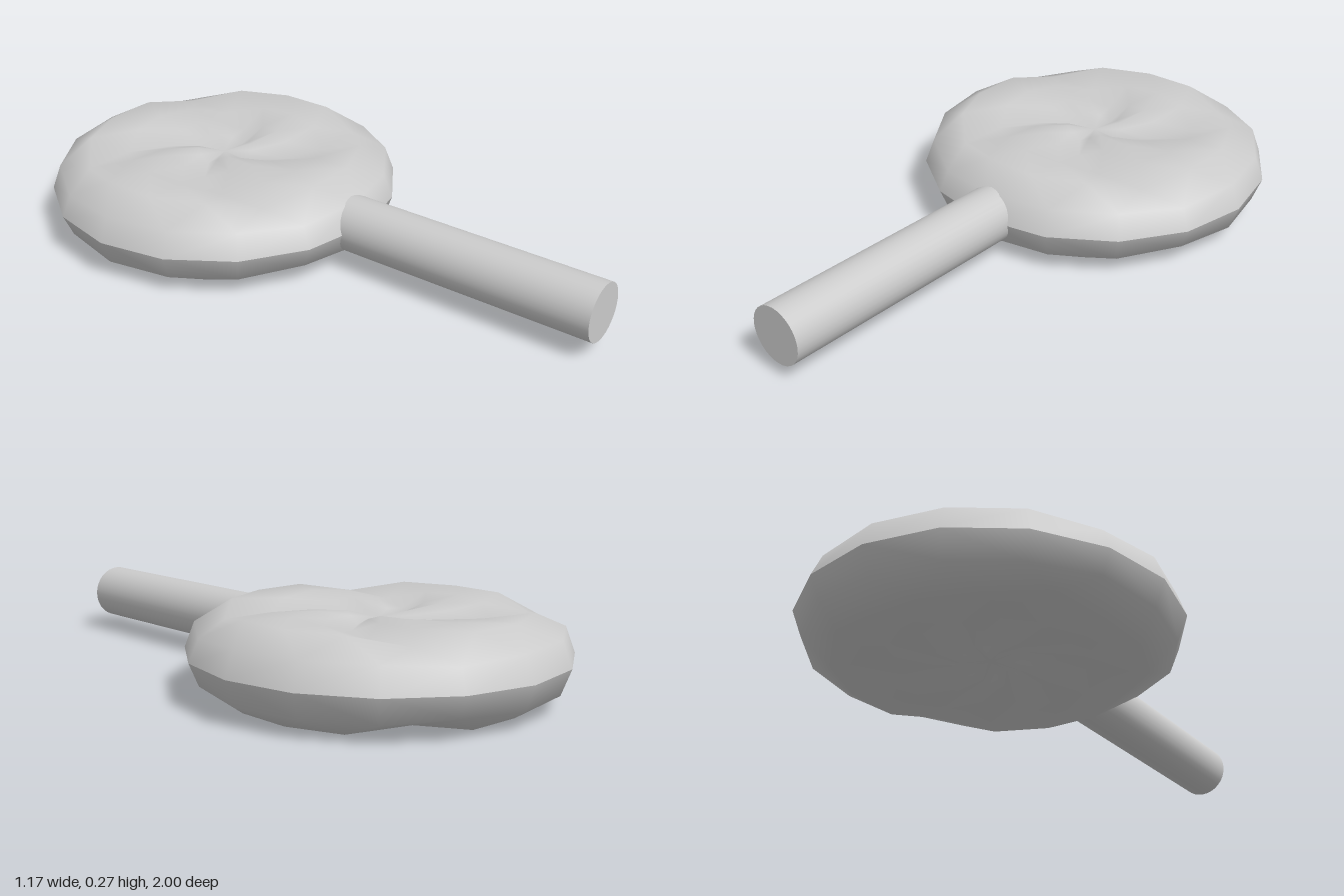
import * as THREE from 'three';

const SIDES = 16, MID = 0.135, CENTRE_Z = -0.415;

// Rings from rim to middle: radius, twist in degrees,
// then height above the mid plane at the crest, shoulder and groove
const RINGS = [
  [0.585, 0, 0, 0, 0],
  [0.555, 0, 0.08, 0.08, 0.07],
  [0.46, 11.25, 0.135, 0.135, 0.105],
  [0.33, 28, 0.135, 0.128, 0.1],
  [0.2, 45, 0.13, 0.12, 0.094],
  [0.09, 64, 0.12, 0.11, 0.09],
];
const CENTRE_HEIGHT = 0.1;

// One half of the swirled candy; side is 1 for the top, -1 for the bottom
function candyHalf(side) {
  const positions = [], index = [];
  const tri = (a, b, c) => (side > 0 ? index.push(a, b, c) : index.push(a, c, b));
  for (const [r, twist, crest, shoulder, groove] of RINGS) {
    for (let k = 0; k < SIDES; k++) {
      const a = (k / SIDES) * Math.PI * 2 + THREE.MathUtils.degToRad(twist);
      const h = [shoulder, groove, shoulder, crest][k % 4];
      positions.push(r * Math.cos(a), side * h, r * Math.sin(a));
    }
  }
  const centre = positions.length / 3;
  positions.push(0, side * CENTRE_HEIGHT, 0);

  for (let i = 0; i < RINGS.length; i++) {
    for (let k = 0; k < SIDES; k++) {
      const n = (k + 1) % SIDES;
      const o0 = i * SIDES + k, o1 = i * SIDES + n;
      if (i === RINGS.length - 1) {
        tri(o0, centre, o1);
        continue;
      }
      const i0 = o0 + SIDES, i1 = o1 + SIDES;
      tri(o0, i0, o1);
      tri(o1, i0, i1);
    }
  }
  const geometry = new THREE.BufferGeometry();
  geometry.setAttribute('position', new THREE.Float32BufferAttribute(positions, 3));
  geometry.setIndex(index);
  geometry.computeVertexNormals();
  return geometry;
}

export function createModel() {
  const model = new THREE.Group();
  model.name = 'lollipop';
  const material = new THREE.MeshStandardMaterial({ color: 0xcccccc });

  // Candy: two mirrored halves with a sharp seam around the rim
  const candy = new THREE.Group();
  candy.name = 'candy';
  candy.position.set(0, MID, CENTRE_Z);
  for (const side of [1, -1]) {
    const half = new THREE.Mesh(candyHalf(side), material);
    half.name = side > 0 ? 'candyTop' : 'candyBottom';
    candy.add(half);
  }
  model.add(candy);

  // Stick: lies along z, its back end buried in the candy
  const back = 0, front = 1;
  const stick = new THREE.Mesh(new THREE.CylinderGeometry(0.092, 0.092, front - back, 32), material);
  stick.name = 'stick';
  stick.rotation.x = Math.PI / 2;
  stick.position.set(0, MID, (front + back) / 2);
  model.add(stick);

  return model;
}
